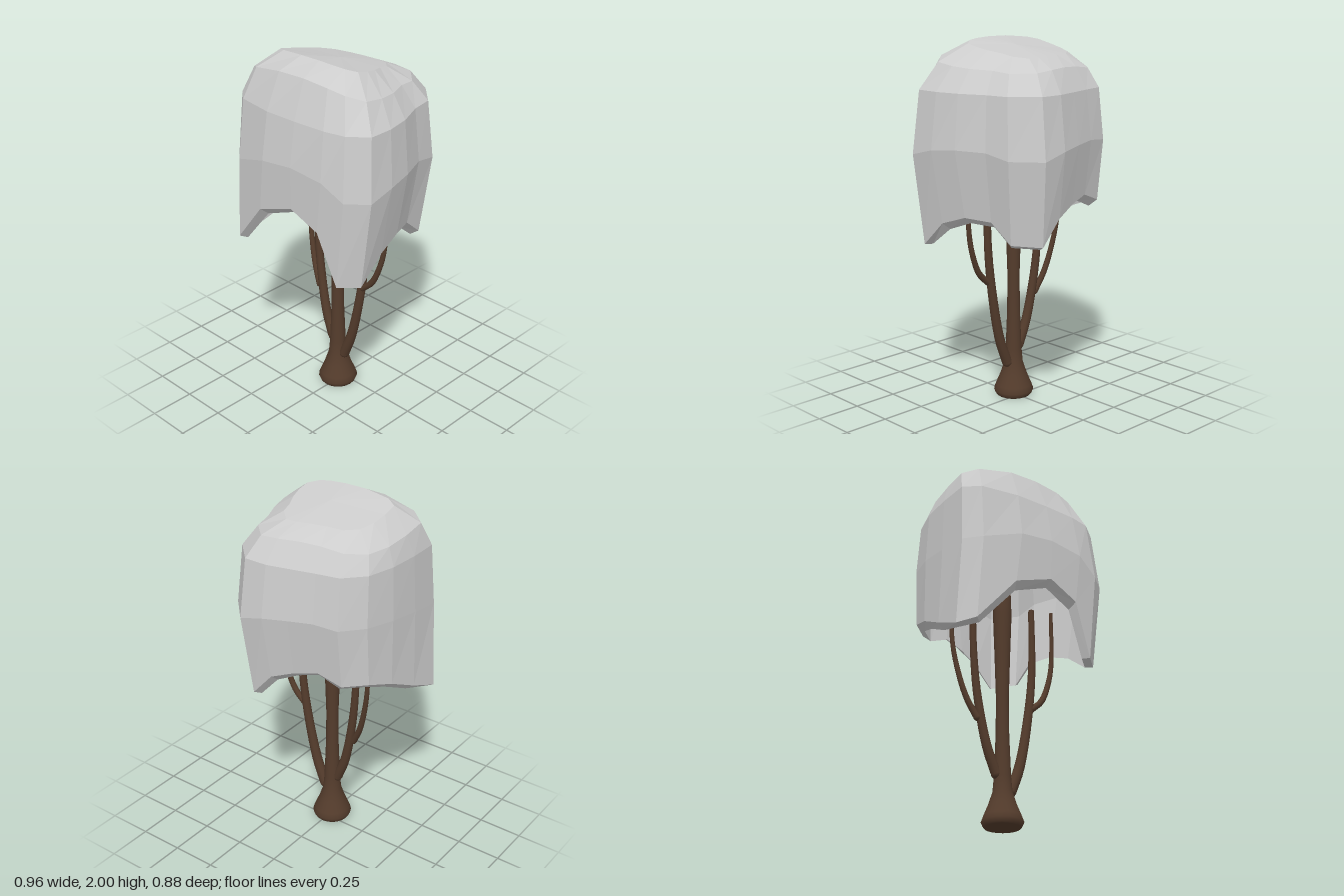
import * as THREE from 'three';

const canopyMat = new THREE.MeshStandardMaterial({ color: 0xcccccc, flatShading: true });
canopyMat.name = 'pale grey canopy';
const barkMat = new THREE.MeshStandardMaterial({ color: 0x543c2c });
barkMat.name = 'brown bark';

// Canopy columns, counterclockwise from the front: x and z at the waist, rim height
const columns = [
  [-0.15, 0.44, 1.19], [0.05, 0.435, 1.27], [0.25, 0.42, 1.19], [0.375, 0.39, 0.9],
  [0.48, 0.3, 0.9], [0.48, 0.15, 1.04], [0.45, 0, 1.09], [0.385, -0.16, 1.08],
  [0.36, -0.3, 0.975], [0.23, -0.435, 0.965], [0.09, -0.435, 1.1], [-0.05, -0.4, 1.15],
  [-0.18, -0.365, 1.18], [-0.31, -0.335, 1.13], [-0.41, -0.22, 1.13], [-0.45, -0.05, 1.08],
  [-0.46, 0.14, 0.99], [-0.455, 0.33, 0.91], [-0.37, 0.405, 0.935],
];

// Rings from the crown down to the rim; the right side (-x) is fuller at the top
const rings = [
  () => [0, 1.965, 0.02],
  (x, z) => {
    const px = x * (x > 0 ? 0.48 : 0.67), pz = z * 0.45;
    return [px, 1.955 + 0.22 * pz - 0.2 * px * px, pz];
  },
  (x, z) => {
    const px = x * (x > 0 ? 0.76 : 0.9), pz = z * 0.73;
    return [px, 1.9 + 0.13 * pz - 0.35 * px * px, pz];
  },
  (x, z) => [x * (x > 0 ? 0.94 : 0.975), 1.74, z * 0.91],
  (x, z, rim) => [x, 1.4 + 0.28 * (rim - 0.9), z],
  (x, z, rim) => [
    x > 0 ? x * 0.86 : x - 0.08 * Math.max(0, z),
    rim,
    z * (z > 0 ? 0.99 : 0.89),
  ],
];

function buildCanopy() {
  const column = ([x, z, rim]) => {
    const outer = rings.map((ring) => ring(x, z, rim));
    // Inner skin: shrink towards the axis and sink below the crown and the arches
    const drop = [0.05, 0.045, 0.045, 0, 0, Math.min(0.035, (rim - 0.9) * 0.3)];
    const inner = outer.map(([px, py, pz], i) => {
      const s = Math.max(0, 1 - 0.045 / Math.hypot(px, pz));
      return i === 0 ? [px, py - drop[i], pz] : [px * s, py - drop[i], pz * s];
    });
    return [...outer, ...inner.reverse()];
  };
  const grid = columns.map(column);
  const pos = [];
  grid.forEach((left, j) => {
    const right = grid[(j + 1) % grid.length];
    for (let i = 0; i < left.length - 1; i++) {
      if (i > 0) pos.push(...left[i], ...left[i + 1], ...right[i]);
      if (i < left.length - 2) pos.push(...right[i], ...left[i + 1], ...right[i + 1]);
    }
  });
  const geo = new THREE.BufferGeometry();
  geo.setAttribute('position', new THREE.Float32BufferAttribute(pos, 3));
  geo.computeVertexNormals();
  const mesh = new THREE.Mesh(geo, canopyMat);
  mesh.name = 'canopy';
  return mesh;
}

// Tapered limb along a curve, with a rounded foot
function buildBranch(name, points, r0, r1) {
  const curve = new THREE.CatmullRomCurve3(points.map((p) => new THREE.Vector3(...p)));
  const steps = 20, sides = 10;
  const geo = new THREE.TubeGeometry(curve, steps, 1, sides);
  const pos = geo.attributes.position;
  const v = new THREE.Vector3();
  for (let i = 0; i < pos.count; i++) {
    const t = Math.floor(i / (sides + 1)) / steps;
    const c = curve.getPointAt(t);
    v.fromBufferAttribute(pos, i).sub(c).multiplyScalar(r0 + (r1 - r0) * t).add(c);
    pos.setXYZ(i, v.x, v.y, v.z);
  }
  const group = new THREE.Group();
  group.name = name;
  const limb = new THREE.Mesh(geo, barkMat);
  limb.name = name + 'Limb';
  const foot = new THREE.Mesh(new THREE.SphereGeometry(r0, 10, 8), barkMat);
  foot.name = name + 'Foot';
  foot.position.set(...points[0]);
  group.add(limb, foot);
  return group;
}

export function createModel() {
  const model = new THREE.Group();
  model.name = 'tree';
  model.add(buildCanopy());

  // Trunk with a flared foot
  const profile = [[0, 0], [0.095, 0], [0.102, 0.008], [0.111, 0.03], [0.1, 0.06], [0.075, 0.12],
    [0.052, 0.19], [0.045, 0.27], [0.036, 0.5], [0.034, 0.7], [0.042, 0.95], [0.051, 1.2],
    [0.045, 1.4], [0, 1.42]];
  const trunk = new THREE.Mesh(
    new THREE.LatheGeometry(profile.map(([r, y]) => new THREE.Vector2(r, y)), 20), barkMat);
  trunk.name = 'trunk';
  trunk.position.set(-0.006, 0, 0.04);
  model.add(trunk);

  // Two main branches, each with a thinner side branch
  model.add(
    buildBranch('rightBranch', [[-0.045, 0.28, 0.04], [-0.1, 0.42, 0.035], [-0.155, 0.7, 0.025],
      [-0.178, 0.95, 0.02], [-0.187, 1.3, 0.02]], 0.028, 0.016),
    buildBranch('rightTwig', [[-0.16, 0.57, 0.03], [-0.215, 0.68, 0.01], [-0.26, 0.84, -0.01],
      [-0.285, 1.0, -0.025], [-0.29, 1.25, -0.035]], 0.018, 0.01),
    buildBranch('leftBranch', [[0.045, 0.2, 0.04], [0.1, 0.34, 0.04], [0.16, 0.62, 0.035],
      [0.195, 0.9, 0.03], [0.205, 1.3, 0.02]], 0.03, 0.017),
    buildBranch('leftTwig', [[0.185, 0.69, 0.04], [0.25, 0.75, 0.04], [0.3, 0.86, 0.035],
      [0.33, 0.99, 0.03], [0.34, 1.32, 0.025]], 0.018, 0.01),
  );
  return model;
}
